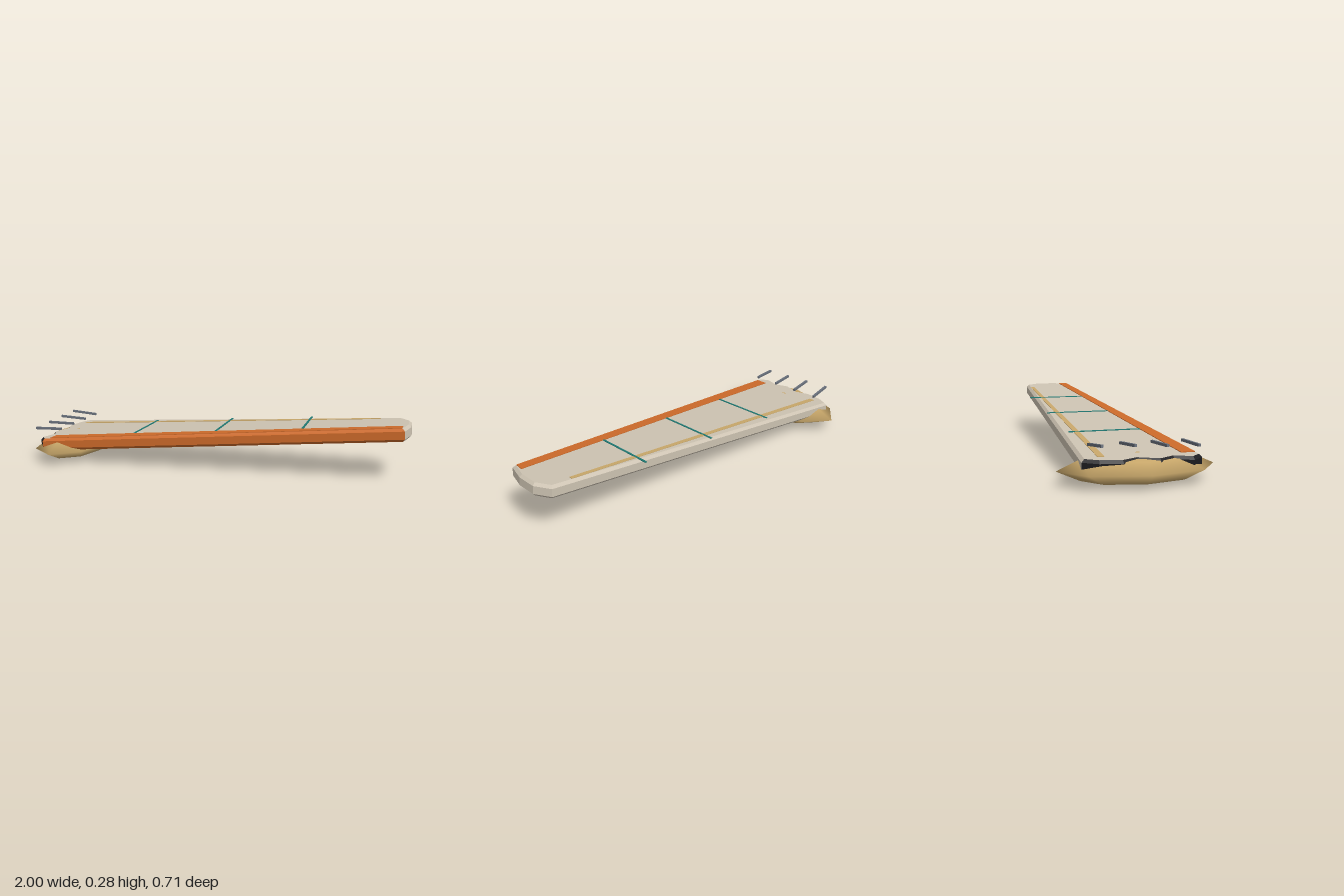
import * as THREE from 'three';

const mat = (name, color, side = THREE.FrontSide) => {
  const m = new THREE.MeshStandardMaterial({ color, side });
  m.name = name;
  return m;
};

export function createModel() {
  const panel = mat('panelBeige', 0xcdc3b2);
  const orange = mat('orangePaint', 0xcc6a2a);
  const sand = mat('sand', 0xc8a76a);
  const teal = mat('tealSeam', 0x1f7a74);
  const steel = mat('steel', 0x6a717c);
  const dark = mat('tornDark', 0x1c1c20);

  const model = new THREE.Group();
  model.name = 'wreckedWing';
  const add = (parent, name, geometry, material) => {
    const mesh = new THREE.Mesh(geometry, material);
    mesh.name = name;
    parent.add(mesh);
    return mesh;
  };

  // Wing group: local y = 0 is the top skin, tilted up towards the tip
  const wing = new THREE.Group();
  wing.name = 'wing';
  wing.position.y = 0.196;
  wing.rotation.z = 0.081;
  model.add(wing);

  // Plan outline (x, z): trailing edge, tip, leading edge, torn root
  const outline = [
    [-0.885, -0.265], [0.953, -0.12], [1, -0.045], [1, 0.06], [0.972, 0.16], [-0.9, 0.26],
    [-0.937, 0.21], [-0.91, 0.13], [-0.942, 0.06], [-0.907, -0.03], [-0.935, -0.1], [-0.92, -0.2],
  ].map(([x, z]) => new THREE.Vector2(x, z));
  const n = outline.length;
  const BEVEL = 0.013, THICK = 0.065;

  // Mitred inset of the outline
  const inward = (a, b) => new THREE.Vector2(a.y - b.y, b.x - a.x).normalize();
  const inset = outline.map((p, i) => {
    const n1 = inward(outline[(i + n - 1) % n], p);
    const n2 = inward(p, outline[(i + 1) % n]);
    return n1.clone().add(n2).multiplyScalar(BEVEL / (1 + n1.dot(n2))).add(p);
  });

  // Flat top and bottom skins
  const top = new THREE.ShapeGeometry(new THREE.Shape(inset.map(p => new THREE.Vector2(p.x, -p.y))));
  add(wing, 'topSkin', top.rotateX(-Math.PI / 2), panel);
  const bottom = new THREE.ShapeGeometry(new THREE.Shape(inset.map(p => p.clone())));
  add(wing, 'bottomSkin', bottom.rotateX(Math.PI / 2).translate(0, -THICK, 0), panel);

  // Bevelled edge walls over a range of outline edges
  const rings = [[inset, -THICK], [outline, -THICK + BEVEL], [outline, -BEVEL], [inset, 0]];
  const edgeWall = (from, to) => {
    const pos = [];
    const put = (ring, i) => pos.push(ring[0][i % n].x, ring[1], ring[0][i % n].y);
    for (let i = from; i < to; i++) {
      for (let r = 0; r < 3; r++) {
        const lo = rings[r], hi = rings[r + 1];
        put(lo, i); put(hi, i); put(hi, i + 1);
        put(lo, i); put(hi, i + 1); put(lo, i + 1);
      }
    }
    const g = new THREE.BufferGeometry();
    g.setAttribute('position', new THREE.Float32BufferAttribute(pos, 3));
    g.computeVertexNormals();
    return g;
  };
  add(wing, 'trailingEdgeAndTip', edgeWall(0, 4), panel);
  add(wing, 'leadingEdge', edgeWall(4, 5), orange);
  add(wing, 'tornRoot', edgeWall(5, n), dark);

  // Thin painted plates on the top skin
  const plate = (name, pts, height, material) => {
    const shape = new THREE.Shape(pts.map(([x, z]) => new THREE.Vector2(x, -z)));
    const g = new THREE.ExtrudeGeometry(shape, { depth: height, bevelEnabled: false });
    add(wing, name, g.rotateX(-Math.PI / 2), material);
  };
  plate('leadingStripe', [[-0.86, 0.18], [0.964, 0.1], [0.959, 0.148], [-0.86, 0.245]], 0.003, orange);
  plate('sandStripe', [[-0.86, -0.19], [0.845, -0.115], [0.845, -0.095], [-0.86, -0.16]], 0.002, sand);

  // Panel seams, overhanging the trailing edge near the tip
  [[-0.41, 0.163], [0.035, 0.143], [0.48, 0.123]].forEach(([x, end], i) => {
    const seam = add(wing, `panelSeam${i + 1}`, new THREE.BoxGeometry(0.011, 0.004, end + 0.195), teal);
    seam.position.set(x, 0.001, (end - 0.195) / 2);
  });

  // Loose struts above the torn root
  [[-0.2, 0.188], [-0.06, 0.184], [0.08, 0.177], [0.22, 0.172]].forEach(([z, y], i) => {
    const a = new THREE.Vector3(-0.953, y, z);
    const b = new THREE.Vector3(-0.81, 0.173, z - 0.015);
    const strut = add(model, `looseStrut${i + 1}`, new THREE.BoxGeometry(0.012, 0.012, a.distanceTo(b)), steel);
    strut.position.copy(a).lerp(b, 0.5);
    strut.lookAt(b);
  });

  // Sand mound under the root
  const mound = add(model, 'sandMound', new THREE.SphereGeometry(1, 8, 4), sand);
  mound.scale.set(0.19, 0.065, 0.355);
  mound.position.set(-0.81, 0.066, 0);

  return model;
}
